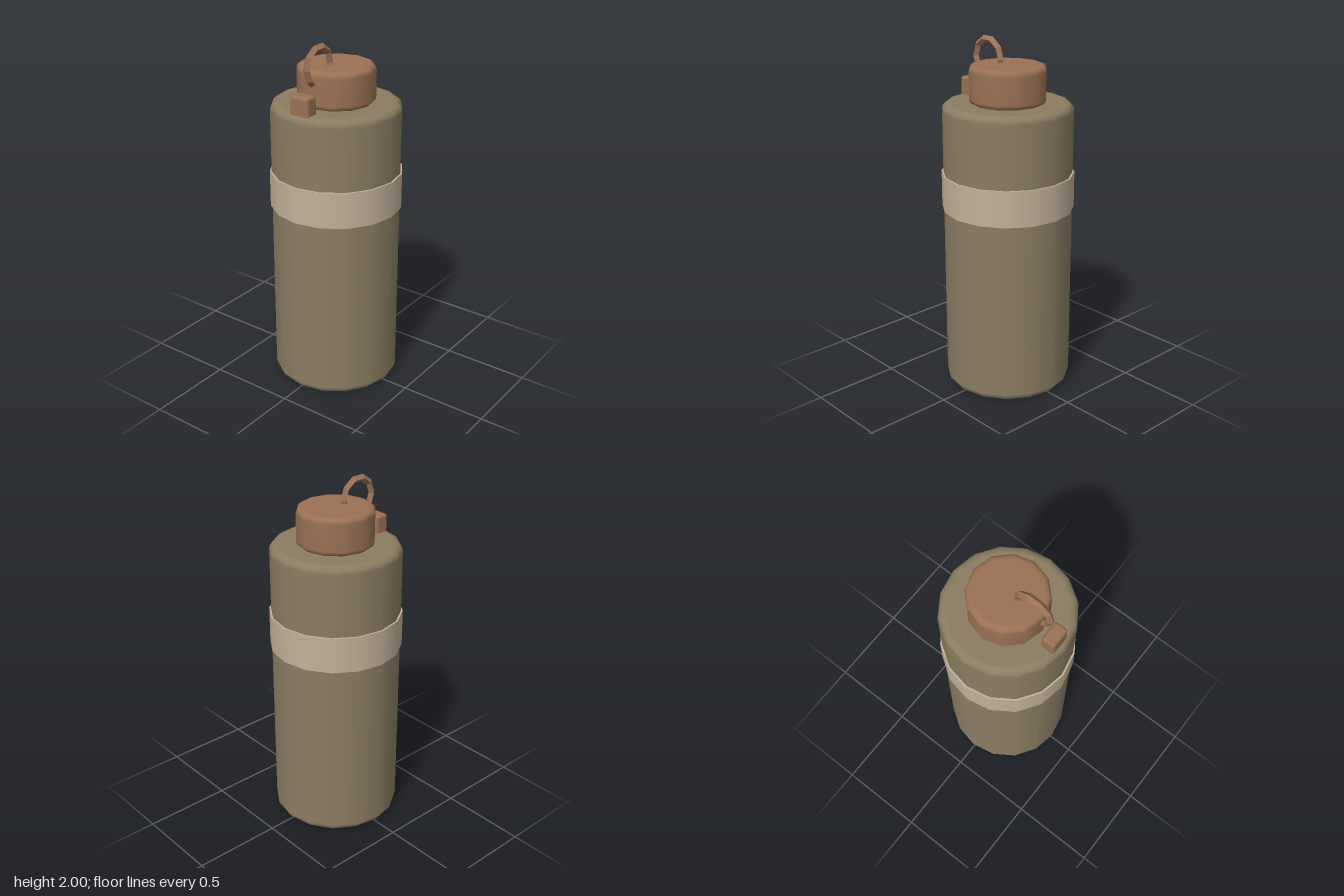
import * as THREE from 'three';
import { RoundedBoxGeometry } from 'three/addons/geometries/RoundedBoxGeometry.js';

// Closed cylinder with rounded rims, standing from y0 to y1
function roundedCylinder(radius, y0, y1, bevel, sides) {
  const points = [new THREE.Vector2(0, y0), new THREE.Vector2(radius - bevel - 0.005, y0)];
  const steps = 3;
  for (const top of [false, true]) {
    for (let i = 0; i <= steps; i++) {
      const a = (i / steps) * Math.PI / 2 + (top ? 0 : -Math.PI / 2);
      const y = (top ? y1 - bevel : y0 + bevel) + Math.sin(a) * bevel;
      points.push(new THREE.Vector2(radius - bevel + Math.cos(a) * bevel, y));
    }
  }
  points.push(new THREE.Vector2(radius - bevel - 0.005, y1), new THREE.Vector2(0, y1));
  return new THREE.LatheGeometry(points, sides);
}

export function createModel() {
  const group = new THREE.Group();
  const material = (name, color, flatShading = false) => {
    const m = new THREE.MeshStandardMaterial({ color, flatShading });
    m.name = name;
    return m;
  };
  const olive = material('olive', 0x8b7d62);
  const sand = material('sand', 0xc2b199);
  const copper = material('copper', 0x9b7155);

  const add = (name, geometry, mat, x = 0, y = 0, z = 0) => {
    const mesh = new THREE.Mesh(geometry, mat);
    mesh.name = name;
    mesh.position.set(x, y, z);
    group.add(mesh);
    return mesh;
  };

  // Bottle and the band around it
  add('body', roundedCylinder(0.362, 0, 1.66, 0.04, 16), olive);
  add('band', new THREE.CylinderGeometry(0.372, 0.372, 0.205, 16), sand, 0, 1.163, 0);

  // Screw cap
  add('cap', roundedCylinder(0.216, 1.655, 1.866, 0.03, 12), copper);

  // Carrying ring with a diamond section, split into facets for hard edges
  const ring = new THREE.TorusGeometry(0.102, 0.021, 4, 10).toNonIndexed();
  ring.computeVertexNormals();
  add('ring', ring, copper, -0.157, 1.883, 0);

  // Latch on the shoulder
  add('latch', new RoundedBoxGeometry(0.08, 0.12, 0.12, 2, 0.016), copper, -0.29, 1.7, 0);

  return group;
}
